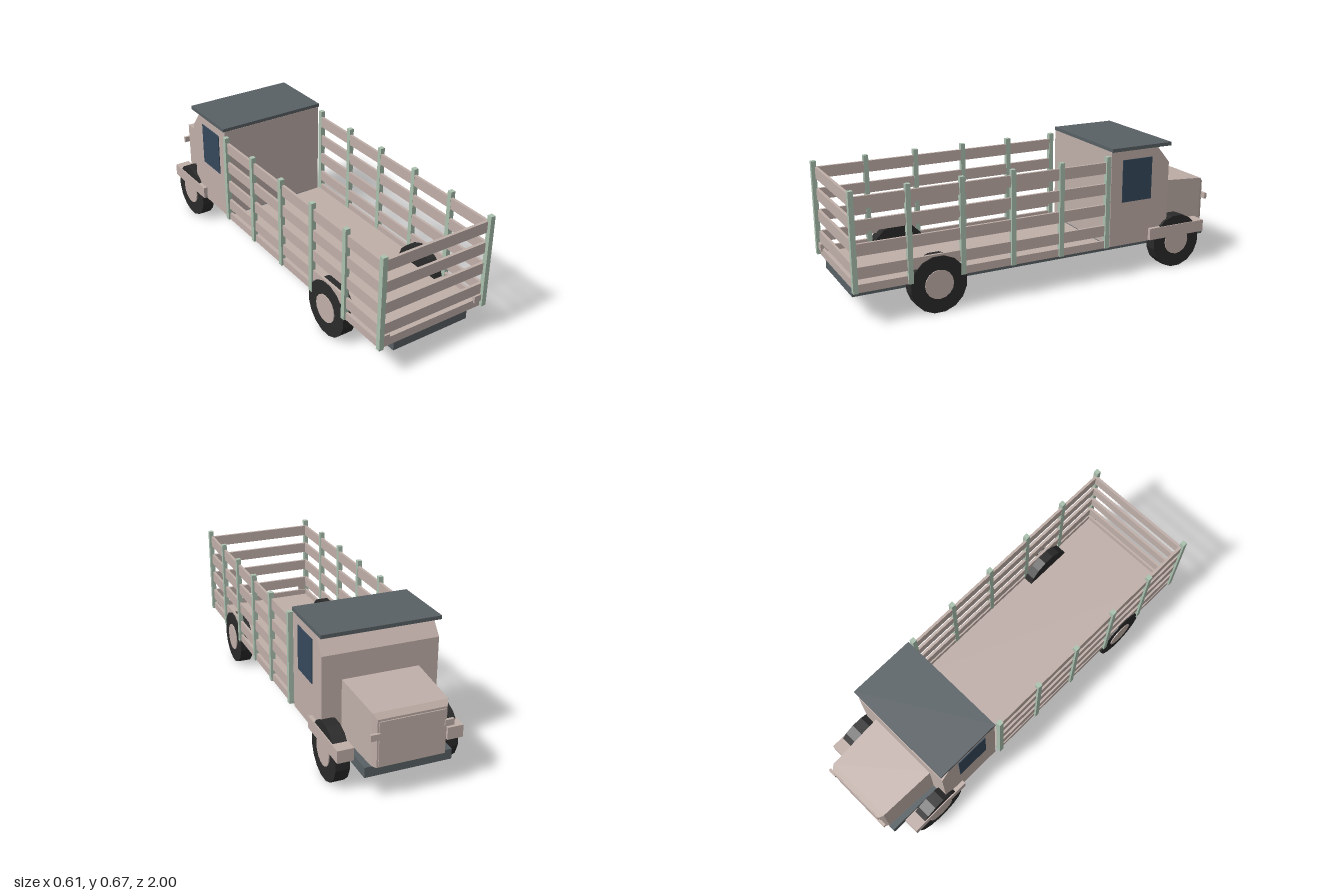
import * as THREE from 'three';

const mat = (name, color) => {
  const m = new THREE.MeshStandardMaterial({ color });
  m.name = name;
  m.flatShading = true;
  return m;
};

export function createModel() {
  const truck = new THREE.Group();
  truck.name = 'stakeTruck';
  const body = mat('dusty pink', 0xc0afa9);
  const post = mat('sage green', 0xabc1af);
  const slate = mat('slate grey', 0x596165);
  const glass = mat('dark blue glass', 0x35485b);
  const rubber = mat('black rubber', 0x2a2a2a);

  const add = (name, geometry, material) => {
    const mesh = new THREE.Mesh(geometry, material);
    mesh.name = name;
    truck.add(mesh);
    return mesh;
  };
  // Box given by its limits on each axis
  const box = (name, material, x0, x1, y0, y1, z0, z1) => {
    const mesh = add(name, new THREE.BoxGeometry(x1 - x0, y1 - y0, z1 - z0), material);
    mesh.position.set((x0 + x1) / 2, (y0 + y1) / 2, (z0 + z1) / 2);
    return mesh;
  };
  // The same box on both sides of the truck
  const pair = (name, material, x0, x1, ...rest) => {
    box(name + 'Left', material, x0, x1, ...rest);
    box(name + 'Right', material, -x1, -x0, ...rest);
  };

  // Chassis and cargo floor
  box('chassis', slate, -0.208, 0.208, 0.117, 0.167, -0.97, 0.978);
  box('cargoFloor', body, -0.28, 0.28, 0.161, 0.176, -0.315, 0.98);

  // Stakes and slatted sides
  for (let i = 0; i < 6; i++) {
    const z = 0.987 - i * 0.259;
    pair('stake', post, 0.278, 0.302, 0.167, 0.636, z - 0.012, z + 0.012);
  }
  const slats = [[0.167, 0.205], [0.23, 0.285], [0.337, 0.393], [0.445, 0.5], [0.551, 0.607]];
  for (const [y0, y1] of slats) {
    pair('sideSlat', body, 0.279, 0.292, y0, y1, -0.308, 0.985);
    box('tailSlat', body, -0.28, 0.28, y0, y1, 0.968, 0.982);
  }
  pair('tailLight', body, 0.24, 0.278, 0.193, 0.228, 0.975, 0.99);

  // Cab: side profile extruded across the width
  const profile = new THREE.Shape([
    [0.335, 0.162], [0.677, 0.162], [0.677, 0.565], [0.605, 0.652], [0.335, 0.652],
  ].map(([x, y]) => new THREE.Vector2(x, y)));
  const cab = new THREE.ExtrudeGeometry(profile, { depth: 0.566, bevelEnabled: false });
  cab.translate(0, 0, -0.283).rotateY(Math.PI / 2);
  add('cab', cab, body);
  box('roof', slate, -0.289, 0.289, 0.651, 0.669, -0.683, -0.336);
  pair('sideWindow', glass, 0.282, 0.287, 0.388, 0.605, -0.572, -0.4);

  // Hood: rectangular sections [z, half width, top] joined front to back
  const sections = [[-0.67, 0.188, 0.441], [-0.968, 0.176, 0.418], [-0.99, 0.162, 0.395]];
  for (let i = 0; i < 2; i++) {
    const [zb, wb, tb] = sections[i];
    const [zf, wf, tf] = sections[i + 1];
    const g = new THREE.BoxGeometry(1, 1, 1);
    const p = g.attributes.position;
    for (let v = 0; v < p.count; v++) {
      const front = p.getZ(v) < 0;
      p.setXYZ(v,
        Math.sign(p.getX(v)) * (front ? wf : wb),
        p.getY(v) < 0 ? 0.167 : (front ? tf : tb),
        front ? zf : zb);
    }
    g.computeVertexNormals();
    add(i ? 'hoodNose' : 'hood', g, body);
  }
  box('grillePlate', body, -0.155, 0.155, 0.175, 0.385, -0.995, -0.985);
  pair('headlight', body, 0.15, 0.195, 0.304, 0.334, -1, -0.986);

  // Front fenders
  pair('frontFender', body, 0.225, 0.303, 0.168, 0.229, -0.9, -0.566);

  // Wheels with hub discs on the outside
  for (const z of [0.592, -0.734]) {
    for (const side of [1, -1]) {
      const tyre = new THREE.CylinderGeometry(0.14, 0.14, 0.067, 16);
      tyre.rotateY(Math.PI / 16).rotateZ(Math.PI / 2);
      add('tyre', tyre, rubber).position.set(side * 0.264, 0.138, z);
      const hub = new THREE.CylinderGeometry(0.071, 0.071, 0.03, 16);
      hub.rotateZ(Math.PI / 2);
      add('hub', hub, body).position.set(side * 0.287, 0.14, z);
    }
  }
  return truck;
}
